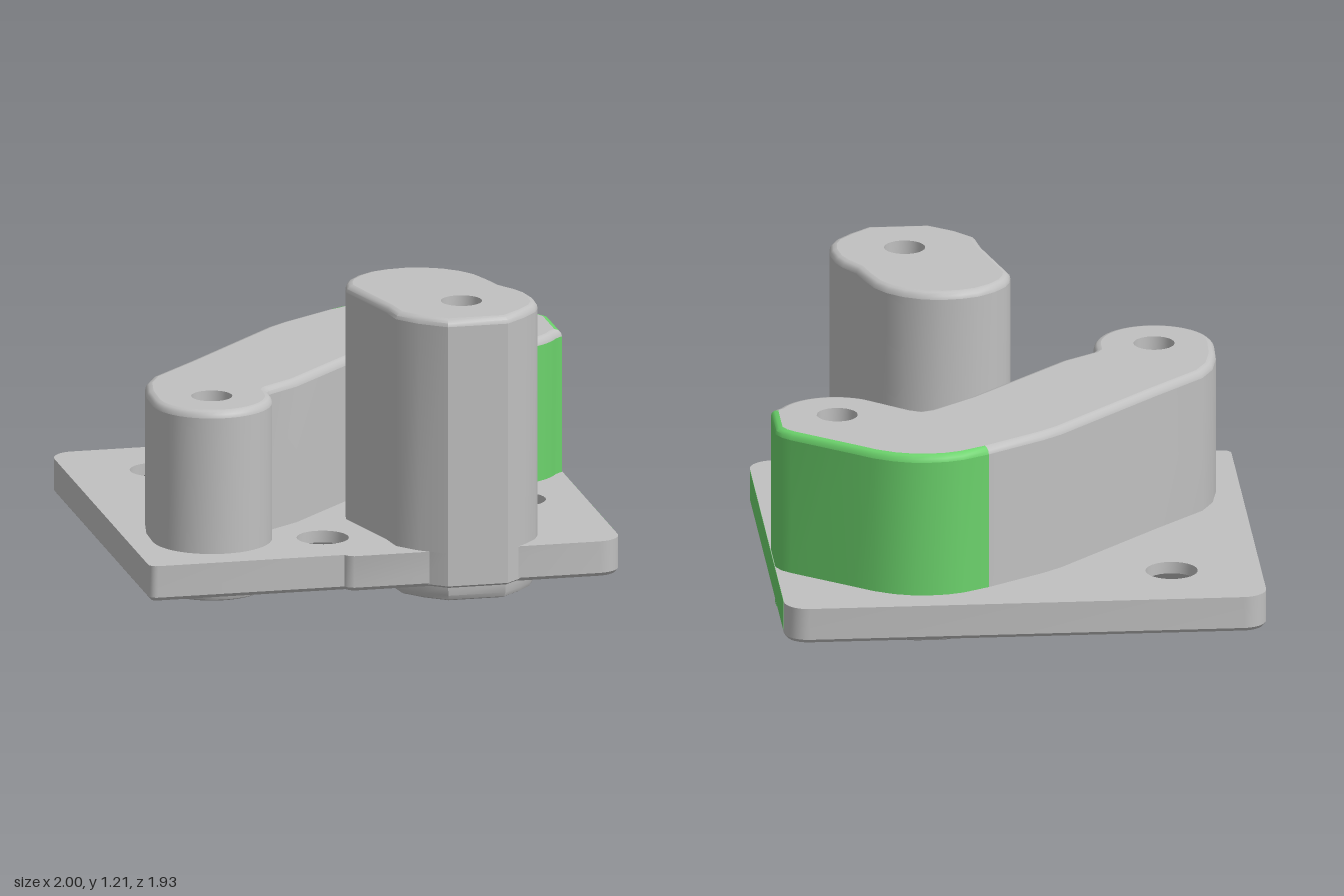
import * as THREE from 'three';
import { toCreasedNormals } from 'three/addons/utils/BufferGeometryUtils.js';

const grey = new THREE.MeshStandardMaterial({ color: 0xc0c0c0 });
grey.name = 'grey';
const green = new THREE.MeshStandardMaterial({ color: 0x6cd36c });
green.name = 'green';

// Points of an arc in the x-z plane, angles in degrees
function arc(cx, cz, r, a0, a1, n = 16) {
  const pts = [];
  for (let i = 0; i <= n; i++) {
    const a = THREE.MathUtils.degToRad(a0 + (a1 - a0) * i / n);
    pts.push([cx + r * Math.cos(a), cz + r * Math.sin(a)]);
  }
  return pts;
}
const circle = (cx, cz, r) => arc(cx, cz, r, 0, 360, 32).slice(0, -1);

// Outline moved inwards by d (outwards if negative)
function inset(pts, d) {
  const n = pts.length;
  const normal = (p, q) => {
    const l = Math.hypot(q[0] - p[0], q[1] - p[1]);
    return [(q[1] - p[1]) / l, -(q[0] - p[0]) / l];
  };
  return pts.map((p, i) => {
    const a = normal(pts[(i + n - 1) % n], p), b = normal(p, pts[(i + 1) % n]);
    const k = d / (1 + a[0] * b[0] + a[1] * b[1]);
    return [p[0] - (a[0] + b[0]) * k, p[1] - (a[1] + b[1]) * k];
  });
}

// Wall swept round an outline; the profile is a list of [inset, y]
function wall(name, outline, profile, material = grey, keep = () => true) {
  const rings = profile.map(([d, y]) => inset(outline, d).map(([x, z]) => [x, y, z]));
  const pos = [], n = outline.length;
  for (let i = 0; i < n; i++) {
    const j = (i + 1) % n;
    if (!keep((outline[i][0] + outline[j][0]) / 2, (outline[i][1] + outline[j][1]) / 2)) continue;
    for (let k = 0; k < rings.length - 1; k++) {
      const a = rings[k][i], b = rings[k][j], c = rings[k + 1][j], d = rings[k + 1][i];
      pos.push(...a, ...d, ...b, ...b, ...d, ...c);
    }
  }
  const geo = new THREE.BufferGeometry();
  geo.setAttribute('position', new THREE.Float32BufferAttribute(pos, 3));
  const mesh = new THREE.Mesh(toCreasedNormals(geo, 0.6), material);
  mesh.name = name;
  return mesh;
}

// Flat face at height y, with holes, facing up or down
function cap(name, outline, holes, y, up) {
  const s = up ? -1 : 1;
  const vecs = (pts) => pts.map(([x, z]) => new THREE.Vector2(x, s * z));
  const shape = new THREE.Shape(vecs(outline));
  holes.forEach((h) => shape.holes.push(new THREE.Path(vecs(h))));
  const geo = new THREE.ShapeGeometry(shape).rotateX(s * Math.PI / 2).translate(0, y, 0);
  const mesh = new THREE.Mesh(geo, grey);
  mesh.name = name;
  return mesh;
}

const PLATE_TOP = 0.21, PLATE_BOTTOM = 0.06, WALL = 0.07;

// Hollow boss, open below, with a rounded rim and drilled roof
function boss(name, outline, holes, top, painted = () => false, paintedEdge = () => false) {
  const g = new THREE.Group();
  g.name = name;
  const ceiling = top - 0.12, shoulder = top - 0.03;
  const side = [[0, PLATE_TOP], [0, shoulder]];
  const edge = [[0, shoulder], [0.004, top - 0.015], [0.015, top - 0.004], [0.03, top]];
  g.add(
    wall('cavityAndRim', outline, [[WALL, ceiling], [WALL, 0.025], [0.062, 0.007], [0.05, 0], [0.04, 0],
      [0.026, 0.007], [0.018, 0.025], [0.015, PLATE_BOTTOM], [0, PLATE_BOTTOM + 0.01], [0, PLATE_TOP]]),
    wall('side', outline, side, grey, (x, z) => !painted(x, z)),
    wall('topEdge', outline, edge, grey, (x, z) => !paintedEdge(x, z)),
    wall('paintedSide', outline, side, green, painted),
    wall('paintedTopEdge', outline, edge, green, paintedEdge),
    cap('roof', inset(outline, 0.03), holes, top, true),
    cap('ceiling', inset(outline, WALL), holes, ceiling, false),
  );
  holes.forEach((h) => g.add(wall('screwHole', h, [[0, top], [0, ceiling]])));
  return g;
}

export function createModel() {
  const model = new THREE.Group();
  model.name = 'mountingBracket';

  const armOutline = [
    ...arc(-0.65, 0.5, 0.25, 0, 180, 24),
    [-0.895, 0.36], [-0.87, 0.23], [-0.82, 0.13], [-0.61, -0.08], [-0.18, -0.53], [-0.1, -0.595],
    [0.14, -0.755], [0.25, -0.815], [0.32, -0.835], [0.385, -0.84], [0.46, -0.835], [0.54, -0.81],
    [0.62, -0.765], [0.7, -0.7], [0.94, -0.51], [0.975, -0.475], [0.998, -0.43], [0.998, -0.2],
    ...arc(0.74, -0.3, 0.26, 30, 125),
    [0.42, -0.235], [0.38, -0.255], [0.34, -0.24], [0.16, -0.09], [-0.25, 0.33], [-0.385, 0.425], [-0.4, 0.45],
  ];
  const postOutline = [
    [-0.04, 0.33], [-0.03, 0.27], [-0.01, 0.22], [0.04, 0.16], [0.11, 0.11], [0.18, 0.088], [0.26, 0.08],
    [0.34, 0.092], [0.42, 0.13], [0.485, 0.185], [0.53, 0.25], [0.565, 0.35], [0.59, 0.44], [0.64, 0.52],
    [0.665, 0.58], [0.68, 0.67], [0.675, 0.75], [0.65, 0.81], [0.59, 0.88], [0.5, 0.96],
    [0.245, 0.96], [0.14, 0.88], [0.065, 0.79], [0.05, 0.68],
  ];

  // Bosses
  const backRight = (x, z) => x > 0.14 && z < -0.3;
  model.add(
    boss('bentArm', armOutline, [circle(-0.65, 0.5, 0.085), circle(0.73, -0.29, 0.085)], 0.82,
      (x, z) => backRight(x, z) || x > 0.58, (x, z) => backRight(x, z) || x > 0.99),
    boss('tallPost', postOutline, [circle(0.37, 0.67, 0.085)], 1.21),
  );

  // Base plate with a small step in its front edge
  const plate = new THREE.Group();
  plate.name = 'basePlate';
  const plateOutline = [
    ...arc(0.9, 0.81, 0.1, 0, 90, 8), [-0.14, 0.91], [-0.165, 0.895], [-0.175, 0.88],
    ...arc(-0.965, 0.845, 0.035, 90, 180, 5),
    ...arc(-0.9, -0.87, 0.1, 180, 270, 8),
    ...arc(0.9, -0.87, 0.1, 270, 360, 8),
  ];
  const drills = [[-0.63, -0.61], [-0.2, 0.59], [0.73, 0.185]];
  const openings = [inset(armOutline, 0.065), inset(postOutline, 0.065)];
  const holesOf = (r) => [...openings, ...drills.map(([x, z]) => circle(x, z, r))];
  plate.add(
    wall('plateEdge', plateOutline, [[0.012, PLATE_BOTTOM], [0, PLATE_BOTTOM + 0.015], [0, PLATE_TOP]]),
    cap('plateTop', plateOutline, holesOf(0.108), PLATE_TOP, true),
    cap('plateUnderside', inset(plateOutline, 0.012), holesOf(0.19), PLATE_BOTTOM, false),
  );
  drills.forEach(([x, z]) => plate.add(wall('countersunkHole', circle(x, z, 0.108),
    [[0, PLATE_TOP], [0, 0.16], [-0.082, PLATE_BOTTOM]])));
  model.add(plate);

  // Painted strips on the +x side
  const strip = (name, x, y0, y1, z0, z1) => {
    const m = new THREE.Mesh(new THREE.BoxGeometry(0.005, y1 - y0, z1 - z0), green);
    m.name = name;
    m.position.set(x, (y0 + y1) / 2, (z0 + z1) / 2);
    model.add(m);
  };
  strip('paintedPlateEdge', 0.9985, 0.082, PLATE_TOP - 0.001, -0.85, 0.8);
  strip('paintedRimTab', 0.984, 0.006, 0.075, -0.34, -0.28);

  return model;
}
